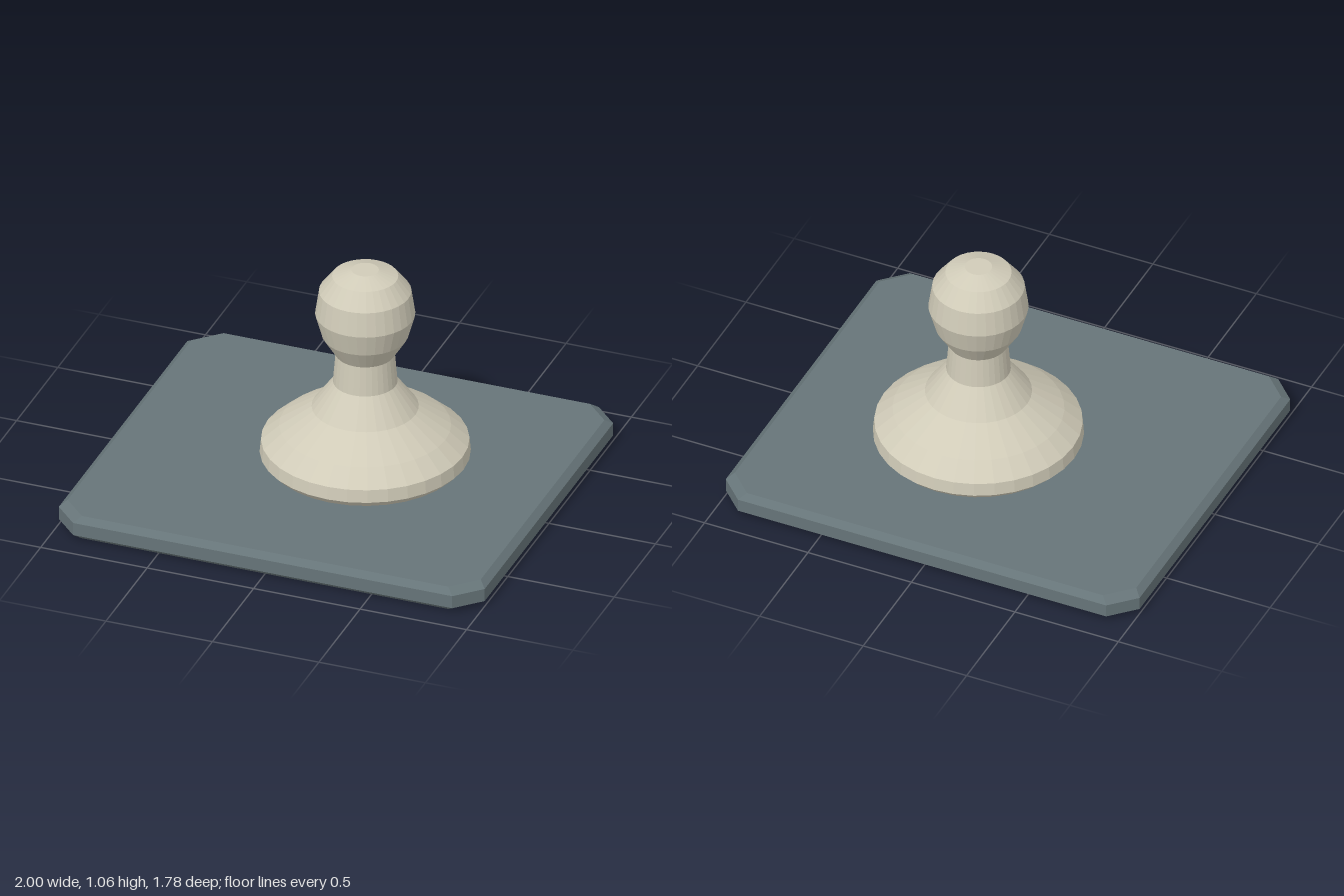
import * as THREE from 'three';

// Rectangle with cut corners, counter-clockwise seen from above
function ring(w, d, cut, y) {
  return [
    [w, d - cut], [w, cut - d], [w - cut, -d], [cut - w, -d],
    [-w, cut - d], [-w, d - cut], [cut - w, d], [w - cut, d],
  ].map(([x, z]) => new THREE.Vector3(x, y, z));
}

// Stack of rings joined by quads, capped at both ends
function loft(rings) {
  const pos = [];
  const tri = (...p) => p.forEach((v) => pos.push(v.x, v.y, v.z));
  const n = rings[0].length;
  for (let k = 0; k < rings.length - 1; k++) {
    const a = rings[k], b = rings[k + 1];
    for (let i = 0; i < n; i++) {
      const j = (i + 1) % n;
      tri(a[i], a[j], b[j]);
      tri(a[i], b[j], b[i]);
    }
  }
  const low = rings[0], high = rings[rings.length - 1];
  for (let i = 1; i < n - 1; i++) {
    tri(low[0], low[i + 1], low[i]);
    tri(high[0], high[i], high[i + 1]);
  }
  const geo = new THREE.BufferGeometry();
  geo.setAttribute('position', new THREE.Float32BufferAttribute(pos, 3));
  geo.computeVertexNormals();
  return geo;
}

export function createModel() {
  const group = new THREE.Group();
  const slate = new THREE.MeshStandardMaterial({ color: 0x667478 });
  slate.name = 'slate';
  const ivory = new THREE.MeshStandardMaterial({ color: 0xd0cbb8 });
  ivory.name = 'ivory';

  // Bevelled board tile with cut corners
  const tile = new THREE.Mesh(loft([
    ring(0.97, 0.86, 0.11, 0),
    ring(1, 0.89, 0.11, 0.026),
    ring(1, 0.89, 0.11, 0.087),
    ring(0.97, 0.86, 0.11, 0.113),
  ]), slate);
  tile.name = 'tile';
  group.add(tile);

  // Turned pawn: foot, flared skirt, neck and round head
  const profile = [
    [0, 0.113], [0.43, 0.113], [0.463, 0.147], [0.457, 0.207],
    [0.377, 0.277], [0.235, 0.373], [0.142, 0.5], [0.13, 0.64],
    [0.19, 0.735], [0.22, 0.842], [0.203, 0.955], [0.145, 1.03],
    [0.06, 1.06], [0, 1.06],
  ].map(([r, y]) => new THREE.Vector2(r, y));
  const turned = new THREE.LatheGeometry(profile, 32).toNonIndexed();
  turned.computeVertexNormals();
  const pawn = new THREE.Mesh(turned, ivory);
  pawn.name = 'pawn';
  pawn.position.set(0.11, 0, -0.07);
  group.add(pawn);

  return group;
}
